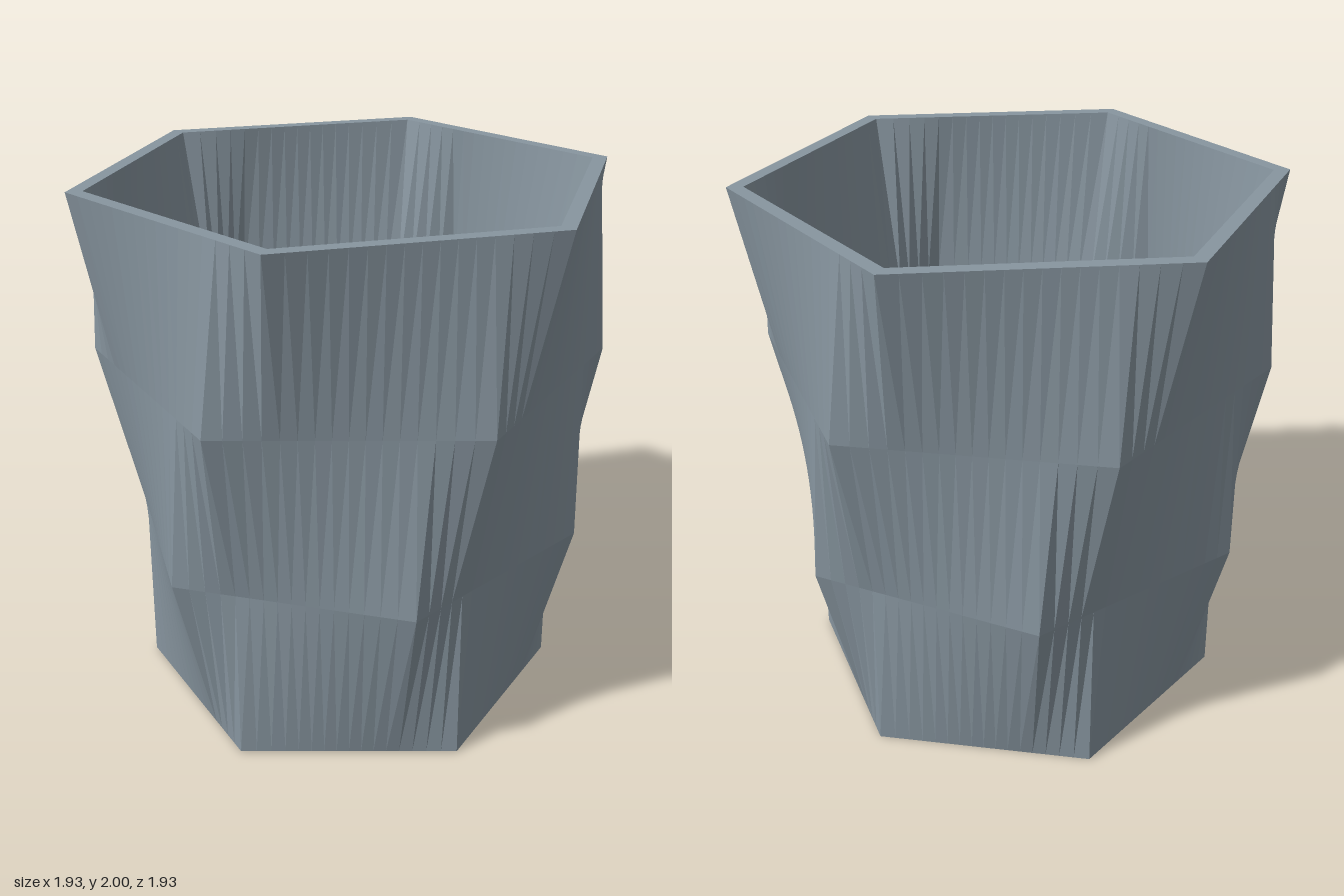
import * as THREE from 'three';

const SEGMENTS = 96;
const DEG = Math.PI / 180;
const WALL = 0.06;
const HOLE = 0.09;

// Ring of points sampled at fixed angles on a hexagon with a corner at `turn` degrees
function hexRing(y, radius, turn) {
  return Array.from({ length: SEGMENTS }, (_, i) => {
    const deg = (i * 360) / SEGMENTS;
    const offset = ((((deg - turn) % 60) + 60) % 60) - 30;
    const r = (radius * Math.cos(30 * DEG)) / Math.cos(offset * DEG);
    return [r * Math.cos(deg * DEG), y, r * Math.sin(deg * DEG)];
  });
}

function roundRing(y, radius) {
  return Array.from({ length: SEGMENTS }, (_, i) => {
    const a = (i * 2 * Math.PI) / SEGMENTS;
    return [radius * Math.cos(a), y, radius * Math.sin(a)];
  });
}

// Skin consecutive rings with flat facets
function loft(name, rings, material) {
  const index = [];
  for (let k = 0; k < rings.length - 1; k++) {
    for (let i = 0; i < SEGMENTS; i++) {
      const j = (i + 1) % SEGMENTS;
      const a = k * SEGMENTS + i, b = k * SEGMENTS + j;
      const c = a + SEGMENTS, d = b + SEGMENTS;
      index.push(a, c, b, b, c, d);
    }
  }
  const indexed = new THREE.BufferGeometry();
  indexed.setAttribute('position', new THREE.Float32BufferAttribute(rings.flat(2), 3));
  indexed.setIndex(index);
  const geometry = indexed.toNonIndexed();
  geometry.computeVertexNormals();
  const mesh = new THREE.Mesh(geometry, material);
  mesh.name = name;
  return mesh;
}

export function createModel() {
  const group = new THREE.Group();
  group.name = 'twistedPlanter';
  const material = new THREE.MeshStandardMaterial({ color: 0x87959f });
  material.name = 'slateGrey';

  // Height, corner radius and twist of each level
  const levels = [[0, 0.8, 90], [2 / 3, 0.889, 105], [4 / 3, 0.956, 90], [2, 1, 75]];
  const outer = levels.map(([y, r, t]) => hexRing(y, r, t));
  const inner = levels.map(([y, r, t]) => hexRing(Math.max(y, WALL), r - WALL, t)).reverse();
  const holeTop = roundRing(WALL, HOLE);
  const holeBottom = roundRing(0, HOLE);

  group.add(
    loft('outerWall', outer, material),
    loft('rim', [outer[3], inner[0]], material),
    loft('innerWall', inner, material),
    loft('floor', [inner[3], holeTop], material),
    loft('drainHole', [holeTop, holeBottom], material),
    loft('base', [holeBottom, outer[0]], material)
  );
  return group;
}
